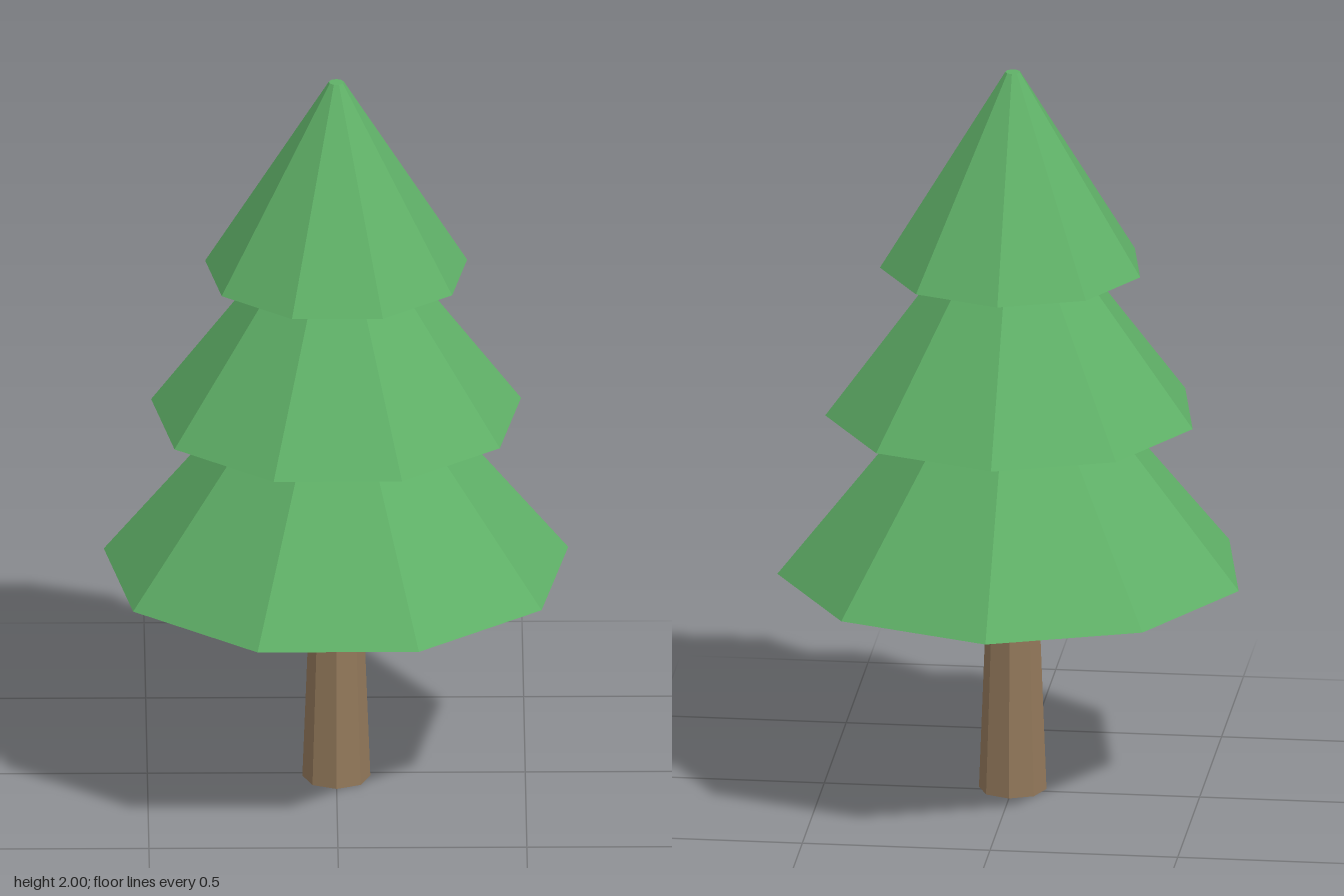
import * as THREE from 'three';

export function createModel() {
  const tree = new THREE.Group();
  tree.name = 'pineTree';

  const needleGreen = new THREE.MeshStandardMaterial({ color: 0x5fb067, flatShading: true });
  needleGreen.name = 'needle green';
  const barkBrown = new THREE.MeshStandardMaterial({ color: 0x92785a, flatShading: true });
  barkBrown.name = 'bark brown';

  // Tapered cylinder standing between two heights
  function addTaper(name, rTop, rBottom, y0, y1, sides, material) {
    const geometry = new THREE.CylinderGeometry(rTop, rBottom, y1 - y0, sides);
    const mesh = new THREE.Mesh(geometry, material);
    mesh.name = name;
    mesh.position.y = (y0 + y1) / 2;
    mesh.rotation.y = Math.PI; // one corner points to the back
    tree.add(mesh);
  }

  // Eight-sided trunk, its top tucked inside the lowest tier
  addTaper('trunk', 0.066, 0.09, 0, 0.63, 8, barkBrown);

  // Nine-sided foliage tiers with small flat tips
  const tiers = [
    ['lowerFoliage', 0.624, 0.61, 1.355],
    ['middleFoliage', 0.497, 1.05, 1.69],
    ['upperFoliage', 0.352, 1.46, 2],
  ];
  for (const [name, radius, y0, y1] of tiers) {
    addTaper(name, 0.02, radius, y0, y1, 9, needleGreen);
  }

  // The nine-sided outline is centred on z by its bounds
  tree.children.forEach((mesh) => { mesh.position.z = 0.019; });
  return tree;
}
